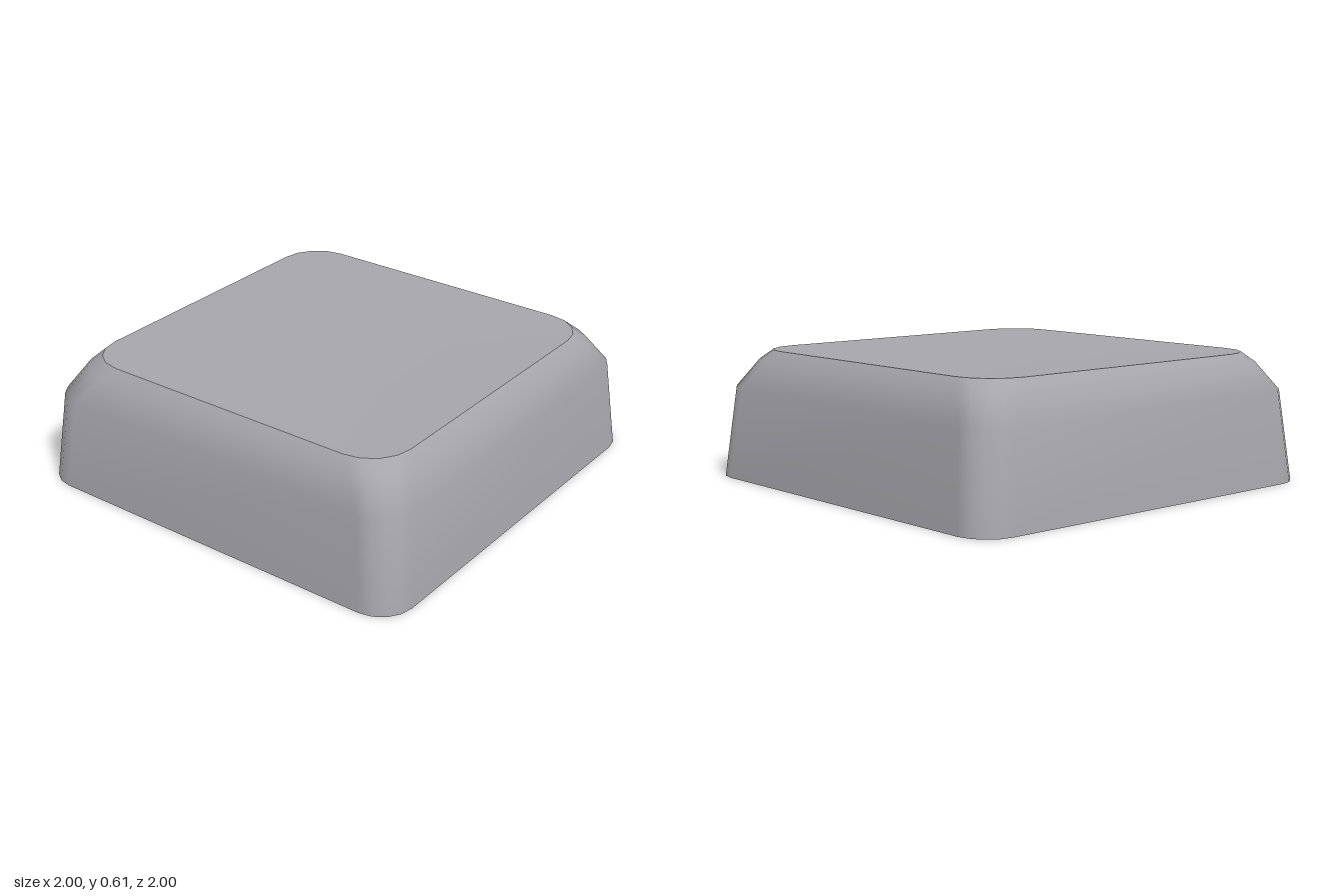
import * as THREE from 'three';

const CORNER_STEPS = 4;

// Rounded square outline at height y, with half width h and corner radius r
function ring(h, y, r) {
  const points = [];
  for (let corner = 0; corner < 4; corner++) {
    const mid = (corner + 0.5) * Math.PI / 2;
    const cx = Math.sign(Math.cos(mid)) * (h - r);
    const cz = Math.sign(Math.sin(mid)) * (h - r);
    for (let i = 0; i <= CORNER_STEPS; i++) {
      const a = (corner + i / CORNER_STEPS) * Math.PI / 2;
      points.push([cx + r * Math.cos(a), y, cz + r * Math.sin(a)]);
    }
  }
  return points;
}

function smoothGeometry(points, index) {
  const geometry = new THREE.BufferGeometry();
  geometry.setAttribute('position', new THREE.Float32BufferAttribute(points.flat(), 3));
  geometry.setIndex(index);
  geometry.computeVertexNormals();
  return geometry;
}

// Side surface joining successive rings from the bottom up
function loft(rings) {
  const n = rings[0].length, index = [];
  for (let k = 0; k < rings.length - 1; k++) {
    for (let j = 0; j < n; j++) {
      const a = k * n + j, b = k * n + (j + 1) % n;
      index.push(a, a + n, b, b, a + n, b + n);
    }
  }
  return smoothGeometry(rings.flat(), index);
}

// Top surface: a fan with a very shallow dish
function dish(rim, depth) {
  const n = rim.length, index = [];
  for (let j = 0; j < n; j++) index.push(n, (j + 1) % n, j);
  return smoothGeometry([...rim, [0, rim[0][1] - depth, 0]], index);
}

export function createModel() {
  const group = new THREE.Group();
  group.name = 'keycap';
  const grey = new THREE.MeshStandardMaterial({ color: 0xa6a5aa, side: THREE.DoubleSide });
  grey.name = 'grey plastic';

  // Tapered skirt and two-step shoulder, open underneath
  const rings = [
    ring(1, 0, 0.16),
    ring(0.955, 0.43, 0.16),
    ring(0.88, 0.56, 0.18),
    ring(0.838, 0.607, 0.2),
  ];
  const skirt = new THREE.Mesh(loft(rings), grey);
  skirt.name = 'skirt';

  // Top face, with a sharp edge against the shoulder
  const top = new THREE.Mesh(dish(rings[3], 0.012), grey);
  top.name = 'topFace';

  group.add(skirt, top);
  return group;
}
